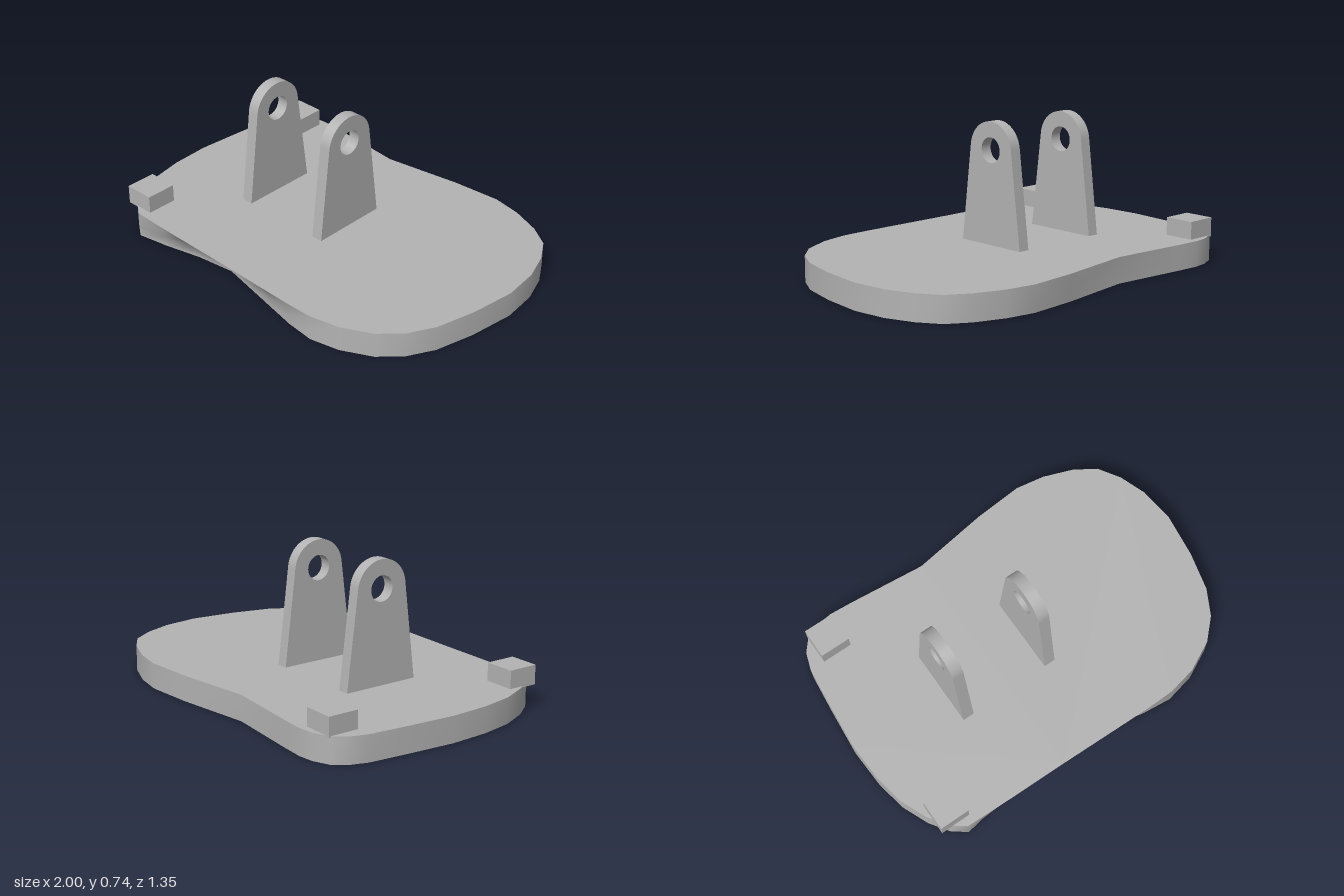
import * as THREE from 'three';

const grey = new THREE.MeshStandardMaterial({ color: 0xb3b3b3 });
grey.name = 'plain grey';

const TOP = 0.13;

// Plate outline as x, z pairs: back corner, small end, front edge, large end, back edge
const OUTLINE = [
  [-0.72, -0.645], [-0.8, -0.635], [-0.88, -0.6], [-0.93, -0.54], [-0.96, -0.45],
  [-0.98, -0.25], [-1, 0], [-0.99, 0.2], [-0.96, 0.36], [-0.9, 0.5], [-0.83, 0.6],
  [-0.76, 0.65], [-0.6, 0.655], [-0.4, 0.658], [-0.2, 0.66], [0, 0.664], [0.15, 0.667],
  [0.3, 0.67], [0.45, 0.667], [0.6, 0.635], [0.75, 0.56], [0.85, 0.46], [0.92, 0.33],
  [0.97, 0.13], [1, -0.1], [0.98, -0.28], [0.93, -0.42], [0.86, -0.53], [0.75, -0.6],
  [0.6, -0.655], [0.45, -0.68], [0.2, -0.66], [-0.2, -0.6], [-0.6, -0.637],
];

// The lower part of the front edge is pulled in to a shallow waist
function waist([x, z]) {
  if (z < 0.64) return [x, z];
  const t = x < -0.25 ? (x + 0.73) / 0.48 : (0.4 - x) / 0.65;
  return [x, z - 0.12 * THREE.MathUtils.clamp(t, 0, 1)];
}

// Flat cap over an outline, facing up or down
function cap(points, y, up) {
  const shape = new THREE.Shape(points.map(([x, z]) => new THREE.Vector2(x, up ? -z : z)));
  const geometry = new THREE.ShapeGeometry(shape);
  geometry.rotateX(up ? -Math.PI / 2 : Math.PI / 2);
  geometry.translate(0, y, 0);
  return geometry;
}

// Side wall from stacked rings, bottom to top
function wall(rings) {
  const n = OUTLINE.length;
  const positions = [], index = [];
  for (const { points, y } of rings) for (const [x, z] of points) positions.push(x, y, z);
  for (let r = 0; r < rings.length - 1; r++) {
    for (let i = 0; i < n; i++) {
      const a = r * n + i, b = r * n + (i + 1) % n;
      index.push(a, b, b + n, a, b + n, a + n);
    }
  }
  const geometry = new THREE.BufferGeometry();
  geometry.setAttribute('position', new THREE.Float32BufferAttribute(positions, 3));
  geometry.setIndex(index);
  geometry.computeVertexNormals();
  return geometry;
}

// Tapered lug with a round head and a pin hole
function lugGeometry() {
  const shape = new THREE.Shape();
  shape.moveTo(-0.2, TOP - 0.005);
  shape.lineTo(0.2, TOP - 0.005);
  shape.absarc(0, 0.6, 0.14, 0.125, Math.PI - 0.125, false);
  shape.closePath();
  const hole = new THREE.Path();
  hole.absarc(0, 0.6, 0.063, 0, Math.PI * 2, true);
  shape.holes.push(hole);
  const geometry = new THREE.ExtrudeGeometry(shape, { depth: 0.06, bevelEnabled: false, curveSegments: 24 });
  geometry.translate(0, 0, -0.03);
  geometry.rotateY(-Math.PI / 2);
  return geometry;
}

export function createModel() {
  const model = new THREE.Group();
  model.name = 'hingePlate';

  const add = (name, geometry, parent = model) => {
    const mesh = new THREE.Mesh(geometry, grey);
    mesh.name = name;
    parent.add(mesh);
    return mesh;
  };

  // Base plate
  const plate = new THREE.Group();
  plate.name = 'basePlate';
  model.add(plate);
  const lower = OUTLINE.map(waist);
  add('plateTop', cap(OUTLINE, TOP, true), plate);
  add('plateBottom', cap(lower, 0, false), plate);
  add('plateSide', wall([
    { points: lower, y: 0 },
    { points: lower, y: 0.05 },
    { points: OUTLINE, y: TOP },
  ]), plate);

  // Pair of lugs
  const lug = lugGeometry();
  add('rightLug', lug).position.x = -0.45;
  add('leftLug', lug).position.x = 0.038;

  // Corner blocks at the small end
  const block = new THREE.BoxGeometry(0.157, 0.097, 0.157);
  for (const side of [-1, 1]) {
    add(side > 0 ? 'frontBlock' : 'backBlock', block).position.set(-0.803, 0.1715, side * 0.528);
  }

  return model;
}
